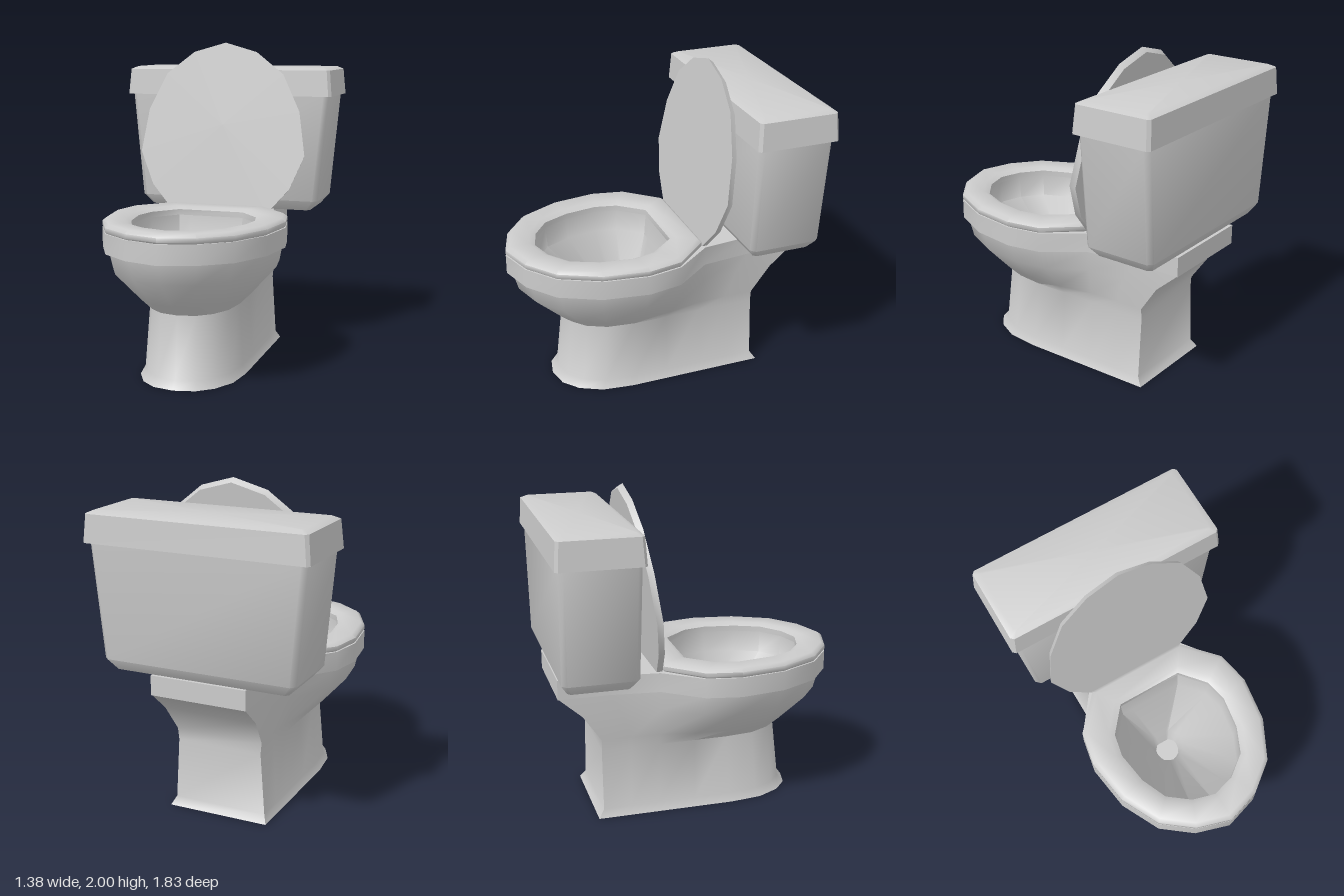
import * as THREE from 'three';
import { toCreasedNormals } from 'three/addons/utils/BufferGeometryUtils.js';

const material = new THREE.MeshStandardMaterial({ color: 0xcccccc, side: THREE.DoubleSide });

// Half outlines as [x, z], from the front centre round the +x side to the back
const EGG = [[0, 0.915], [0.21, 0.85], [0.39, 0.71], [0.51, 0.47], [0.55, 0.19], [0.51, -0.02], [0.32, -0.23]];
const HOLE = [[0, 0.73], [0.14, 0.69], [0.27, 0.59], [0.34, 0.43], [0.37, 0.23], [0.34, 0.09], [0.21, -0.065]];
const LID = [[0, 1.09], [0.21, 1.03], [0.39, 0.89], [0.505, 0.655], [0.55, 0.375], [0.46, 0.16], [0.32, 0]];
const RIM = [...EGG.slice(0, 6), [0.335, -0.25], [0.3, -0.5], [0.3, -0.86]];
const FOOT = [[0, 0.575], [0.11, 0.55], [0.19, 0.48], [0.25, 0.36], [0.27, 0.19], [0.27, -0.02], [0.27, -0.24], [0.27, -0.42], [0.27, -0.605]];
const BOWL_HOLE = [...HOLE, [0.14, -0.065], [0.07, -0.065]];

// Mirror a half outline into a closed ring at height y
function ring(half, y) {
  const mirrored = half.slice(1).reverse().map(([x, z]) => [-x, z]);
  return [...half, ...mirrored].map(([x, z]) => [x, y, z]);
}

// Rectangle ring with chamfered corners
function boxRing(y, x, front, back, c) {
  return [[-x + c, front], [x - c, front], [x, front - c], [x, back + c],
    [x - c, back], [-x + c, back], [-x, back + c], [-x, front - c]].map(([px, pz]) => [px, y, pz]);
}

// Scale a half outline about z = from and move that centre to z = to
const scaled = (half, sx, sz, from = 0, to = from) => half.map(([x, z]) => [x * sx, (z - from) * sz + to]);

// Skin a stack of rings, with optional end caps, keeping sharp edges
function loft(name, rings, { start = false, end = false, crease = 0.65 } = {}) {
  const n = rings[0].length;
  const positions = rings.flat(2);
  const index = [];
  for (let j = 0; j < rings.length - 1; j++) {
    for (let i = 0; i < n; i++) {
      const k = (i + 1) % n;
      const a = j * n + i, b = j * n + k;
      index.push(a, b, b + n, a, b + n, a + n);
    }
  }
  const cap = (r, flip) => {
    const centre = positions.length / 3;
    for (let c = 0; c < 3; c++) positions.push(rings[r].reduce((s, p) => s + p[c], 0) / n);
    for (let i = 0; i < n; i++) {
      const a = r * n + i, b = r * n + (i + 1) % n;
      index.push(centre, flip ? b : a, flip ? a : b);
    }
  };
  if (start) cap(0, true);
  if (end) cap(rings.length - 1, false);
  const geometry = new THREE.BufferGeometry();
  geometry.setAttribute('position', new THREE.Float32BufferAttribute(positions, 3));
  geometry.setIndex(index);
  const mesh = new THREE.Mesh(toCreasedNormals(geometry.toNonIndexed(), crease), material);
  mesh.name = name;
  return mesh;
}

// Outer body ring: t blends foot to rim, back sets the rear edge, s flares the foot
function bodyRing(y, t, back, s = 1) {
  const half = FOOT.map(([x, z], i) => [
    THREE.MathUtils.lerp(x * s, RIM[i][0], t),
    THREE.MathUtils.lerp(z * (s * 0.8 + 0.2), RIM[i][1], t),
  ]);
  half[8][1] = back;
  half[7][1] = (half[6][1] + back) / 2;
  return ring(half, y);
}

export function createModel() {
  const model = new THREE.Group();
  model.name = 'toilet';

  // Pedestal, bowl, rear deck and basin as one skin, open underneath
  model.add(loft('bowlAndPedestal', [
    bodyRing(0, 0, -0.64, 1.18),
    bodyRing(0.05, 0, -0.605, 1.09),
    bodyRing(0.43, 0, -0.605),
    bodyRing(0.5, 0.25, -0.605),
    bodyRing(0.67, 0.8, -0.72),
    bodyRing(0.795, 0.9, -0.86),
    bodyRing(0.795, 1, -0.865),
    bodyRing(0.915, 1, -0.865),
    ring(BOWL_HOLE, 0.915),
    ring(scaled(BOWL_HOLE, 0.97, 0.97, 0.33), 0.78),
    ring(scaled(BOWL_HOLE, 0.28, 0.25, 0.33, 0.18), 0.4),
    ring(scaled(BOWL_HOLE, 0.2, 0.18, 0.33, 0.18), 0.3),
  ], { end: true, crease: 0.8 }));

  // Seat ring with softened top edges
  const seatRing = (t, y) => ring(EGG.map(([x, z], i) => [
    THREE.MathUtils.lerp(x, HOLE[i][0], t), THREE.MathUtils.lerp(z, HOLE[i][1], t)]), y);
  model.add(loft('seat', [
    seatRing(0.06, 0.915), seatRing(0, 0.925), seatRing(0, 0.95), seatRing(0.14, 0.97),
    seatRing(0.8, 0.968), seatRing(1, 0.95), seatRing(1, 0.915),
  ], { crease: 0.9 }));

  // Raised lid, leaning back from its hinge
  const lid = loft('lid', [ring(LID, 0), ring(scaled(LID, 0.98, 0.98), 0.035)], { start: true, end: true });
  lid.rotation.x = -THREE.MathUtils.degToRad(98);
  lid.position.set(0, 0.92, -0.235);
  model.add(lid);

  // Cistern widening upwards
  model.add(loft('tank', [
    boxRing(0.915, 0.545, -0.475, -0.845, 0.02),
    boxRing(0.98, 0.602, -0.432, -0.885, 0.03),
    boxRing(1.67, 0.665, -0.425, -0.893, 0.03),
  ], { start: true, end: true, crease: 0.85 }));

  // Cistern cover with bevelled top
  model.add(loft('tankCover', [
    boxRing(1.66, 0.69, -0.405, -0.915, 0.018),
    boxRing(1.825, 0.675, -0.415, -0.905, 0.018),
    boxRing(1.843, 0.635, -0.45, -0.87, 0.01),
  ], { start: true, end: true, crease: 0.5 }));

  return model;
}
